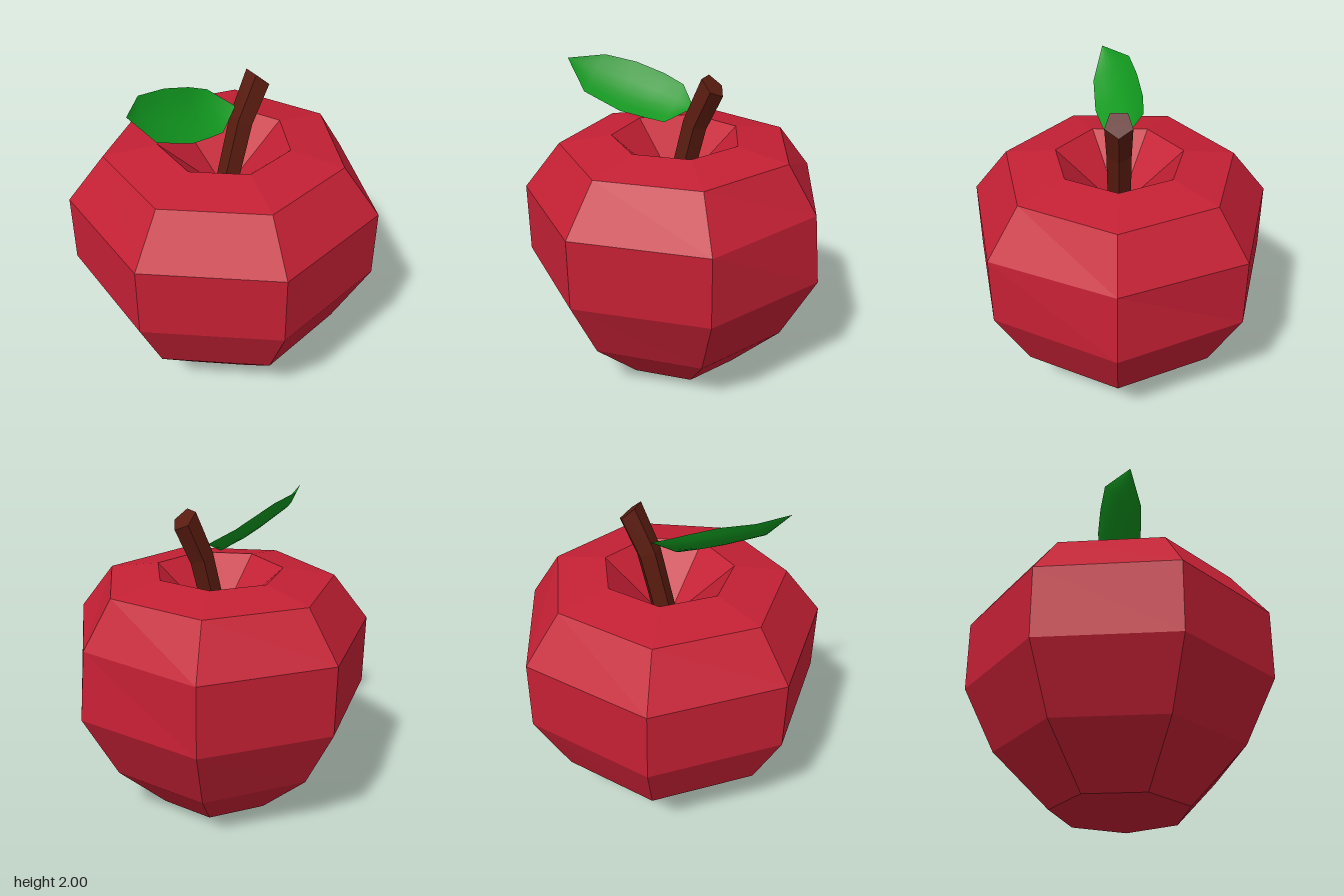
import * as THREE from 'three';

const V = (x, y, z) => new THREE.Vector3(x, y, z);

// Faceted skin through closed rings, listed bottom to top, with a fan at each end
function loft(rings, bottom, top) {
  const pos = [];
  const tri = (...pts) => pts.forEach((p) => pos.push(p.x, p.y, p.z));
  const n = rings[0].length;
  for (let i = 0; i < n; i++) {
    const k = (i + 1) % n;
    for (let j = 0; j < rings.length - 1; j++) {
      const lo = rings[j], hi = rings[j + 1];
      tri(lo[i], hi[i], hi[k]);
      tri(lo[i], hi[k], lo[k]);
    }
    tri(bottom, rings[0][i], rings[0][k]);
    tri(rings[rings.length - 1][i], top, rings[rings.length - 1][k]);
  }
  const g = new THREE.BufferGeometry();
  g.setAttribute('position', new THREE.Float32BufferAttribute(pos, 3));
  g.computeVertexNormals();
  return g;
}

// Seven-sided fruit, slightly lopsided: values run from the +x corner to the -x side
function fruitGeometry() {
  const levels = [
    { y: [0.005, 0.012, 0.03, 0.035], r: [0.41, 0.42, 0.43, 0.433] },
    { y: [0.33, 0.33, 0.37, 0.37], r: [0.74, 0.74, 0.775, 0.775] },
    { y: [0.77, 0.77, 0.77, 0.77], r: [0.97, 0.97, 0.97, 0.97] },
    { y: [1.215, 1.215, 1.215, 1.215], r: [0.93, 0.97, 0.97, 0.97] },
    { y: [1.51, 1.51, 1.51, 1.51], r: [0.74, 0.74, 0.74, 0.74] },
    { y: [1.567, 1.567, 1.567, 1.567], r: [0.41, 0.41, 0.41, 0.41] },
  ];
  const rings = levels.map(({ y, r }) => Array.from({ length: 7 }, (_, i) => {
    const a = (i / 7) * Math.PI * 2, s = Math.min(i, 7 - i);
    return V(-0.05 + r[s] * Math.cos(a), y[s], r[s] * Math.sin(a));
  }));
  return loft(rings, V(-0.05, 0.02, 0), V(-0.05, 1.2, 0));
}

// Five-sided bent stem: each section is centre x, centre y, radius, lean angle
function stemGeometry() {
  const sections = [[-0.05, 1.18, 0.075, 0.2], [0.075, 1.67, 0.079, 0.4], [0.19, 1.918, 0.087, 0.74]];
  const rings = sections.map(([x, y, r, lean]) => Array.from({ length: 5 }, (_, i) => {
    const a = (i / 5) * Math.PI * 2, u = r * Math.cos(a);
    return V(x + u * Math.cos(lean), y - u * Math.sin(lean), r * Math.sin(a));
  }));
  return loft(rings, V(-0.05, 1.18, 0), V(0.19, 1.918, 0));
}

// Cupped leaf: ribs span from the low edge to the high edge and sag in the middle
function leafGeometry() {
  const tip = V(-0.75, 2.0, 0.12), base = V(0.047, 1.75, -0.033);
  const low = [tip, V(-0.605, 1.82, 0.175), V(-0.365, 1.725, 0.155), V(-0.235, 1.695, 0.115), V(-0.105, 1.665, 0.065), base];
  const high = [tip, V(-0.585, 2.0, -0.055), V(-0.39, 1.965, -0.105), V(-0.21, 1.905, -0.14), V(-0.08, 1.85, -0.145), base];
  const sag = V(-0.35, -0.72, -0.6).multiplyScalar(0.045);
  const across = 6, pos = [], index = [];
  low.forEach((p, i) => {
    const depth = Math.sin((i / (low.length - 1)) * Math.PI);
    for (let j = 0; j <= across; j++) {
      const t = j / across;
      const q = p.clone().lerp(high[i], t).addScaledVector(sag, 4 * t * (1 - t) * depth);
      pos.push(q.x, q.y, q.z);
      if (i && j) {
        const d = i * (across + 1) + j, b = d - across - 1;
        index.push(b - 1, d - 1, d, b - 1, d, b);
      }
    }
  });
  const g = new THREE.BufferGeometry();
  g.setAttribute('position', new THREE.Float32BufferAttribute(pos, 3));
  g.setIndex(index);
  g.computeVertexNormals();
  return g;
}

export function createModel() {
  const group = new THREE.Group();
  group.name = 'apple';
  const add = (name, geometry, options) => {
    const mesh = new THREE.Mesh(geometry, new THREE.MeshStandardMaterial(options));
    mesh.name = name;
    group.add(mesh);
  };
  add('fruit', fruitGeometry(), { color: 0xc42034, flatShading: true });
  add('stem', stemGeometry(), { color: 0x5a1c10, flatShading: true });
  add('leaf', leafGeometry(), { color: 0x11971f, side: THREE.DoubleSide });
  return group;
}
